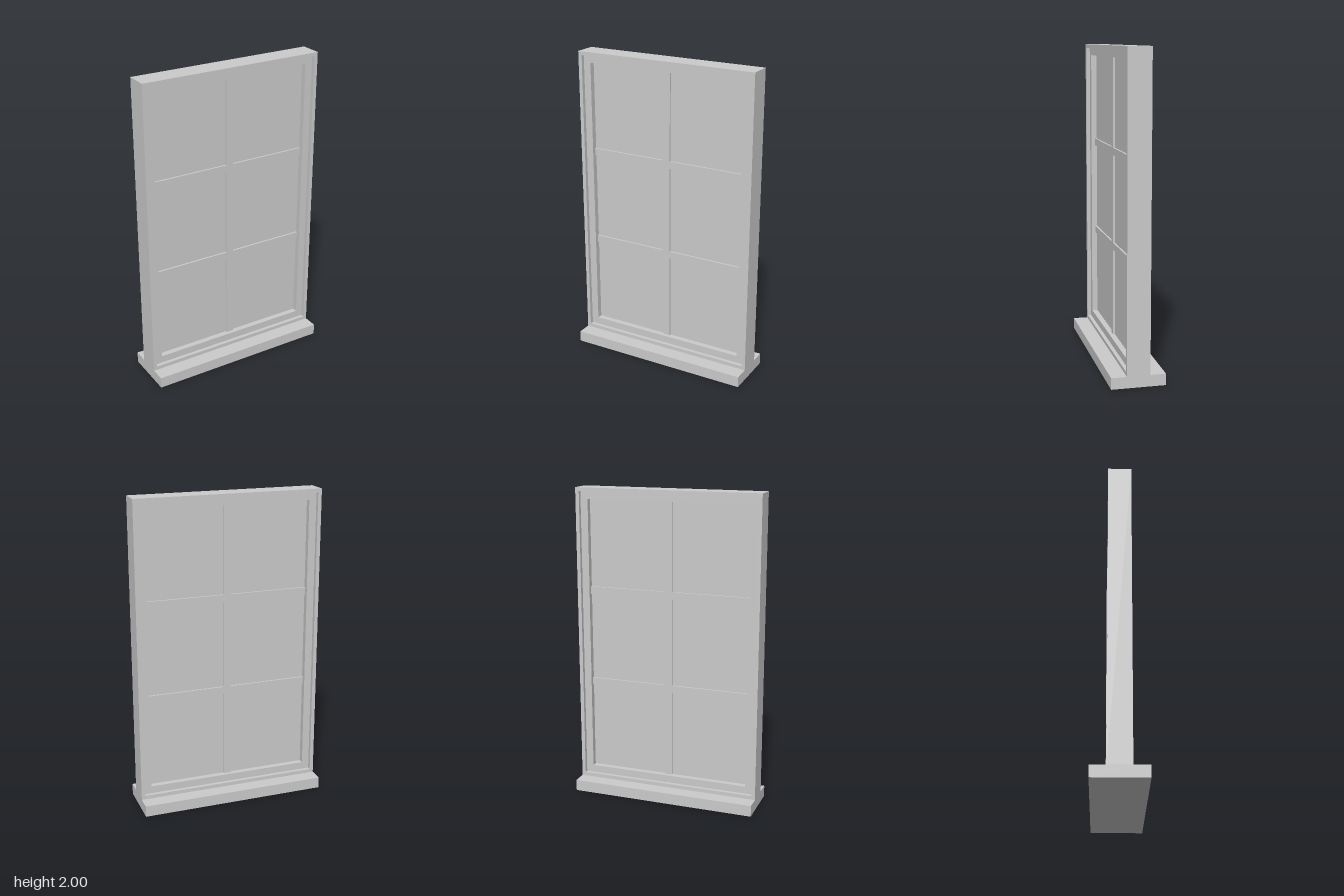
import * as THREE from 'three';

const material = new THREE.MeshStandardMaterial({ color: 0xcccccc });

function addBox(group, name, x0, x1, y0, y1, depth) {
  const mesh = new THREE.Mesh(new THREE.BoxGeometry(x1 - x0, y1 - y0, depth), material);
  mesh.position.set((x0 + x1) / 2, (y0 + y1) / 2, 0);
  mesh.name = name;
  group.add(mesh);
}

// Rectangular ring, centred on z = 0; "border" is the width of its members
function addRing(group, name, halfWidth, y0, y1, border, depth) {
  const rect = (path, w, a, b) =>
    path.moveTo(-w, a).lineTo(w, a).lineTo(w, b).lineTo(-w, b).closePath();
  const shape = rect(new THREE.Shape(), halfWidth, y0, y1);
  shape.holes.push(rect(new THREE.Path(), halfWidth - border, y0 + border, y1 - border));
  const geometry = new THREE.ExtrudeGeometry(shape, { depth, bevelEnabled: false });
  geometry.translate(0, 0, -depth / 2);
  const mesh = new THREE.Mesh(geometry, material);
  mesh.name = name;
  group.add(mesh);
}

export function createModel() {
  const model = new THREE.Group();
  model.name = 'window';

  const unit = 0.024;
  const half = 0.602, sillTop = 3 * unit, top = 2;

  // Sill projecting on both faces
  addBox(model, 'sill', -half, half, 0, sillTop, 14 * unit);

  // Outer frame, and the sash set back inside it
  addRing(model, 'outerFrame', half, sillTop, top, unit, 6 * unit);
  addRing(model, 'sash', half - unit, sillTop + unit, top - unit, 2 * unit, 4 * unit);

  // Glazing bars: one upright and two rows of crossbars
  const openX = half - 3 * unit, openY0 = sillTop + 3 * unit, openY1 = top - 3 * unit;
  addBox(model, 'verticalBar', -unit, unit, openY0, openY1, 2 * unit);
  const pane = (openY1 - openY0 - 4 * unit) / 3;
  for (let row = 1; row <= 2; row++) {
    const y = openY0 + row * pane + (row - 1) * 2 * unit;
    addBox(model, 'crossbarRight', -openX, -unit, y, y + 2 * unit, 2 * unit);
    addBox(model, 'crossbarLeft', unit, openX, y, y + 2 * unit, 2 * unit);
  }

  // Thin glass sheet behind the bars
  addBox(model, 'glass', -openX, openX, openY0, openY1, unit);

  return model;
}
